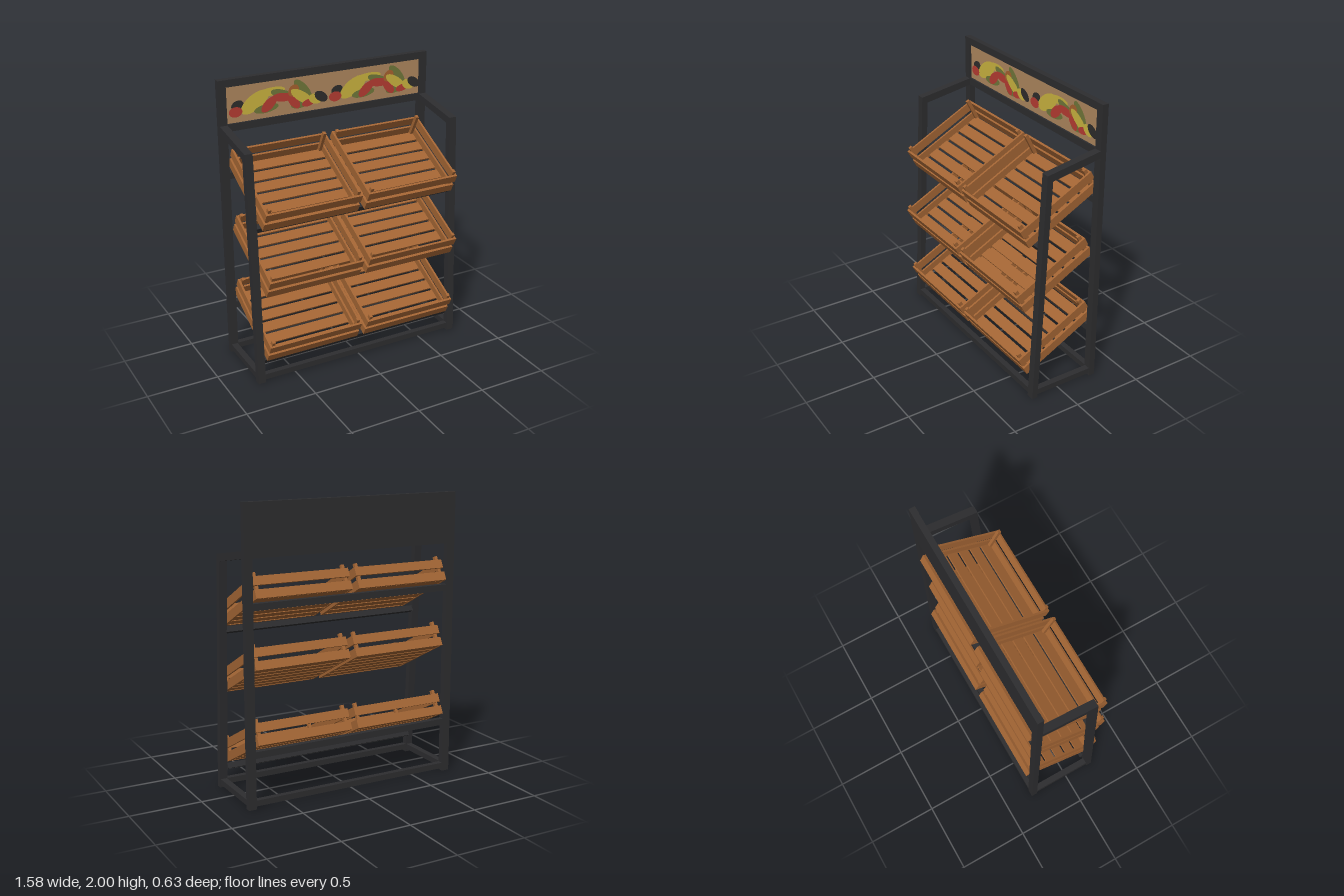
import * as THREE from 'three';

const mat = (name, color) => {
  const m = new THREE.MeshStandardMaterial({ color });
  m.name = name;
  return m;
};

export function createModel() {
  const model = new THREE.Group();
  model.name = 'produceStand';
  const metal = mat('blackMetal', 0x2d2d2f);
  const wood = mat('wood', 0xa36534);
  const tan = mat('signTan', 0xb0885f);
  const paint = {
    dark: mat('paintDark', 0x2f2d2c),
    red: mat('paintRed', 0xb83d32),
    yellow: mat('paintYellow', 0xcdb640),
    green: mat('paintGreen', 0x71783a),
    orange: mat('paintOrange', 0xa8622f),
  };

  const box = (parent, name, material, size, pos) => {
    const m = new THREE.Mesh(new THREE.BoxGeometry(...size), material);
    m.name = name;
    m.position.set(...pos);
    parent.add(m);
    return m;
  };

  // Side frames: upright rear post, leaning front post, sloping arm, floor rail
  const frame = new THREE.Group();
  frame.name = 'frame';
  model.add(frame);
  const outline = (name, points, x) => {
    const shape = new THREE.Shape(points.map(([z, y]) => new THREE.Vector2(-z, y)));
    const geo = new THREE.ExtrudeGeometry(shape, { depth: 0.055, bevelEnabled: false });
    geo.rotateY(Math.PI / 2).translate(x - 0.0275, 0, 0);
    const m = new THREE.Mesh(geo, metal);
    m.name = name;
    frame.add(m);
  };
  for (const s of [-1, 1]) {
    const x = s * 0.7625;
    box(frame, 'rearPost', metal, [0.055, 2, 0.044], [x, 1, -0.278]);
    outline('frontPost', [[0.22, 0], [0.178, 0], [0.098, 1.6], [0.14, 1.63]], x);
    outline('topArm', [[0.14, 1.63], [0.098, 1.585], [-0.27, 1.65], [-0.27, 1.698]], x);
    box(frame, 'sideFloorRail', metal, [0.045, 0.04, 0.44], [x, 0.04, -0.04]);
  }

  // Cross rails
  const rail = (name, y, z, h = 0.045, tilt = 0) => {
    box(frame, name, metal, [1.48, h, 0.04], [0, y, z]).rotation.x = tilt;
  };
  const tilt = THREE.MathUtils.degToRad(27.4);
  rail('rearFloorRail', 0.04, -0.278, 0.04);
  rail('frontFloorRail', 0.04, 0.196, 0.04);
  rail('rearLowerRail', 0.37, -0.278);
  rail('rearUpperRail', 1.342, -0.278);
  rail('frontLowerRail', 0.15, 0.17, 0.04, tilt);
  rail('frontUpperRail', 1.115, 0.143, 0.04, tilt);
  rail('signTopRail', 1.975, -0.278, 0.05);
  rail('signBottomRail', 1.675, -0.278, 0.05);

  // Slatted crate: origin at its lower front edge, floor runs toward -z
  const W = 0.695, L = 0.6, T = 0.015;
  const makeCrate = () => {
    const crate = new THREE.Group();
    crate.name = 'crate';
    const slats = 6, pitch = (L - 2 * T) / slats;
    for (let i = 0; i < slats; i++) {
      box(crate, 'floorSlat', wood, [W - 2 * T, 0.012, pitch - 0.019],
        [0, 0.008, -T - pitch * (i + 0.5)]);
    }
    for (const y of [0.03, 0.118]) {
      for (const s of [-1, 1]) {
        box(crate, 'sideBoard', wood, [T, 0.06, L], [s * (W - T) / 2, y, -L / 2]);
      }
      box(crate, 'frontBoard', wood, [W - 2 * T, 0.06, T], [0, y, -T / 2]);
      box(crate, 'rearBoard', wood, [W - 2 * T, 0.06, T], [0, y, T / 2 - L]);
    }
    for (const s of [-1, 1]) {
      for (const z of [-T - 0.0125, T + 0.0125 - L]) {
        box(crate, 'cornerPost', wood, [0.022, 0.176, 0.025],
          [s * (W / 2 - T - 0.011), 0.09, z]);
      }
    }
    return crate;
  };
  for (const [y, z] of [[0.163, 0.217], [0.657, 0.242], [1.125, 0.217]]) {
    for (const x of [-0.372, 0.372]) {
      const crate = makeCrate();
      crate.position.set(x, y, z);
      crate.rotation.x = tilt;
      model.add(crate);
    }
  }

  // Header sign: dark backing and tan face
  const sign = new THREE.Group();
  sign.name = 'sign';
  model.add(sign);
  box(sign, 'signBack', metal, [1.57, 0.35, 0.015], [0, 1.825, -0.2925]);
  box(sign, 'signFace', tan, [1.47, 0.255, 0.012], [0, 1.823, -0.277]);

  // Painted vegetables: colour, centre x, y, radii, angle; drawn twice in layers
  const blobs = [
    ['dark', -0.655, 1.815, 0.045, 0.032, 0.3],
    ['yellow', -0.53, 1.82, 0.115, 0.055, 0.55],
    ['yellow', -0.41, 1.875, 0.1, 0.028, 0.05],
    ['green', -0.45, 1.765, 0.09, 0.03, 0.1],
    ['green', -0.33, 1.845, 0.09, 0.03, -0.35],
    ['green', -0.18, 1.86, 0.09, 0.035, -0.85],
    ['green', -0.2, 1.76, 0.07, 0.03, 0.1],
    ['red', -0.67, 1.772, 0.048, 0.035, 0],
    ['red', -0.43, 1.79, 0.07, 0.035, 0.7],
    ['red', -0.33, 1.825, 0.08, 0.03, -0.1],
    ['red', -0.25, 1.785, 0.065, 0.032, -0.9],
    ['orange', -0.25, 1.86, 0.045, 0.035, 0.8],
    ['yellow', -0.19, 1.81, 0.095, 0.035, -0.6],
    ['red', -0.14, 1.76, 0.05, 0.025, 0.2],
    ['yellow', -0.09, 1.78, 0.05, 0.035, -0.4],
    ['dark', -0.045, 1.79, 0.055, 0.033, -0.6],
  ];
  for (const shift of [0, 0.735]) {
    blobs.forEach(([color, x, y, rx, ry, a], i) => {
      const m = new THREE.Mesh(new THREE.CircleGeometry(1, 20), paint[color]);
      m.name = 'paintedVegetable';
      m.scale.set(rx, ry, 1);
      m.rotation.z = a;
      m.position.set(x + shift, y, -0.27 + i * 0.0004);
      sign.add(m);
    });
  }
  return model;
}
